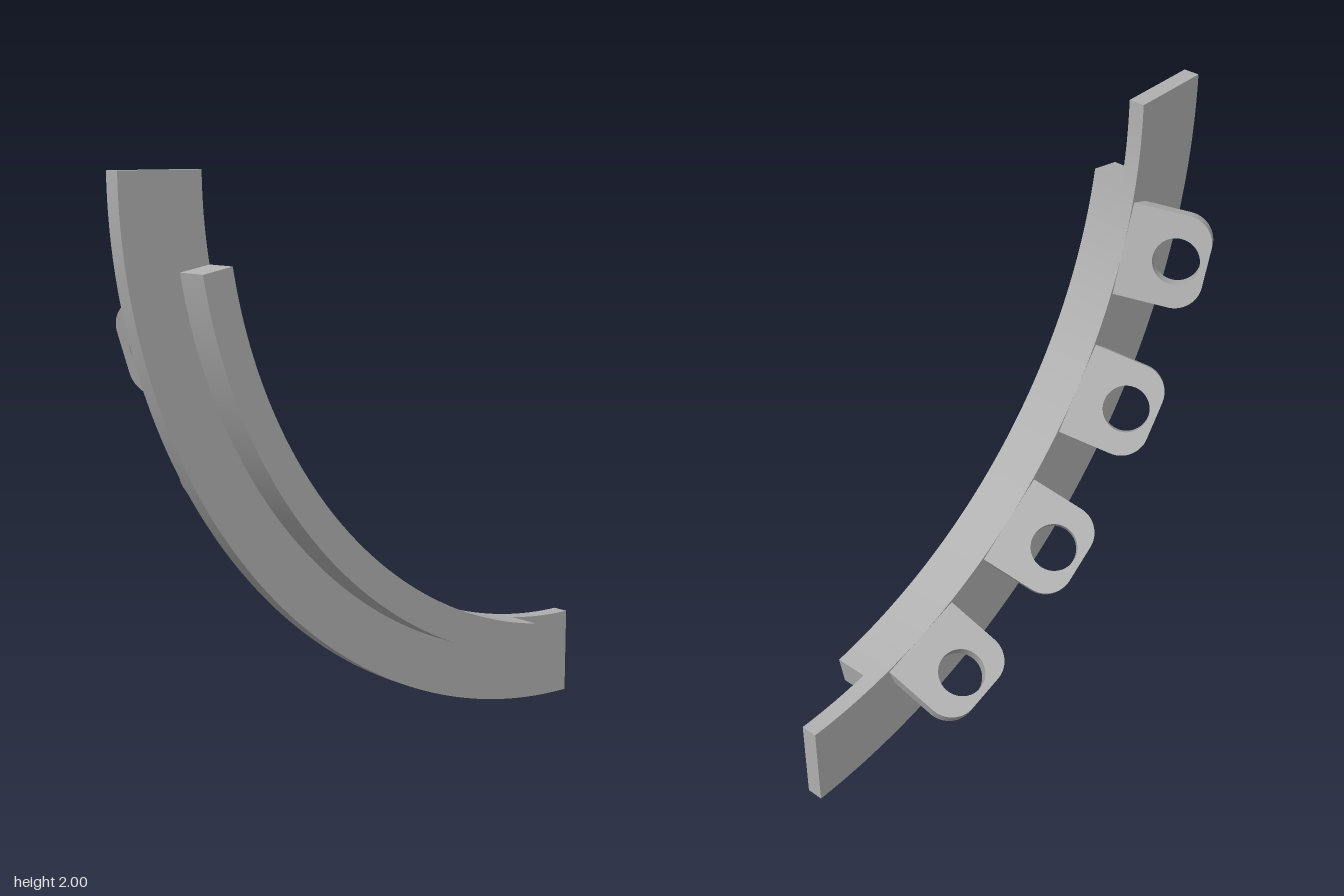
import * as THREE from 'three';
import { toCreasedNormals } from 'three/addons/utils/BufferGeometryUtils.js';

const CX = 1, CY = 2;          // centre of the arc
const INNER = 1.69, OUTER = 2; // plate radii
const rad = THREE.MathUtils.degToRad;

const metal = new THREE.MeshStandardMaterial({ color: 0xb0b0b0 });
metal.name = 'grey metal';

function extrude(shape, depth, curveSegments) {
  const g = new THREE.ExtrudeGeometry(shape, { depth, bevelEnabled: false, curveSegments });
  return toCreasedNormals(g, rad(30));
}

// Ring sector between two radii and two angles (degrees), from z0 to z1
function arcPart(name, r0, r1, a0, a1, z0, z1) {
  const s = new THREE.Shape();
  s.absarc(CX, CY, r1, rad(a0), rad(a1), false);
  s.absarc(CX, CY, r0, rad(a1), rad(a0), true);
  s.closePath();
  const mesh = new THREE.Mesh(extrude(s, z1 - z0, 64), metal);
  mesh.position.z = z0;
  mesh.name = name;
  return mesh;
}

// Flat lug with two rounded corners and a round hole
function lugGeometry() {
  const w = 0.17, len = 0.3, r = 0.1;
  const s = new THREE.Shape();
  s.moveTo(-w, 0);
  s.lineTo(w, 0);
  s.lineTo(w, len - r);
  s.absarc(w - r, len - r, r, 0, Math.PI / 2, false);
  s.lineTo(-w + r, len);
  s.absarc(-w + r, len - r, r, Math.PI / 2, Math.PI, false);
  s.closePath();
  const hole = new THREE.Path();
  hole.absarc(0, 0.19, 0.084, 0, Math.PI * 2, true);
  s.holes.push(hole);
  return extrude(s, 0.06, 20);
}

export function createModel() {
  const model = new THREE.Group();
  model.name = 'curvedBracket';

  model.add(arcPart('curvedPlate', INNER, OUTER, 180, 270, 0.04, 0.1));
  model.add(arcPart('raisedRib', INNER, 1.805, 190, 260, 0.1, 0.22));

  // Four lugs on the back, each leaning 30 degrees outward
  const geometry = lugGeometry();
  const back = new THREE.Vector3(0, 0, -1);
  const tilt = rad(30);
  [198, 216, 234, 252].forEach((angle, i) => {
    const a = rad(angle);
    const radial = new THREE.Vector3(Math.cos(a), Math.sin(a), 0);
    const along = radial.clone().multiplyScalar(Math.sin(tilt)).addScaledVector(back, Math.cos(tilt));
    const normal = radial.clone().multiplyScalar(Math.cos(tilt)).addScaledVector(back, -Math.sin(tilt));
    const tangent = along.clone().cross(normal);
    const lug = new THREE.Mesh(geometry, metal);
    lug.name = 'lug' + (i + 1);
    lug.quaternion.setFromRotationMatrix(new THREE.Matrix4().makeBasis(tangent, along, normal));
    lug.position.set(CX, CY, 0.04).addScaledVector(radial, INNER);
    model.add(lug);
  });

  return model;
}
